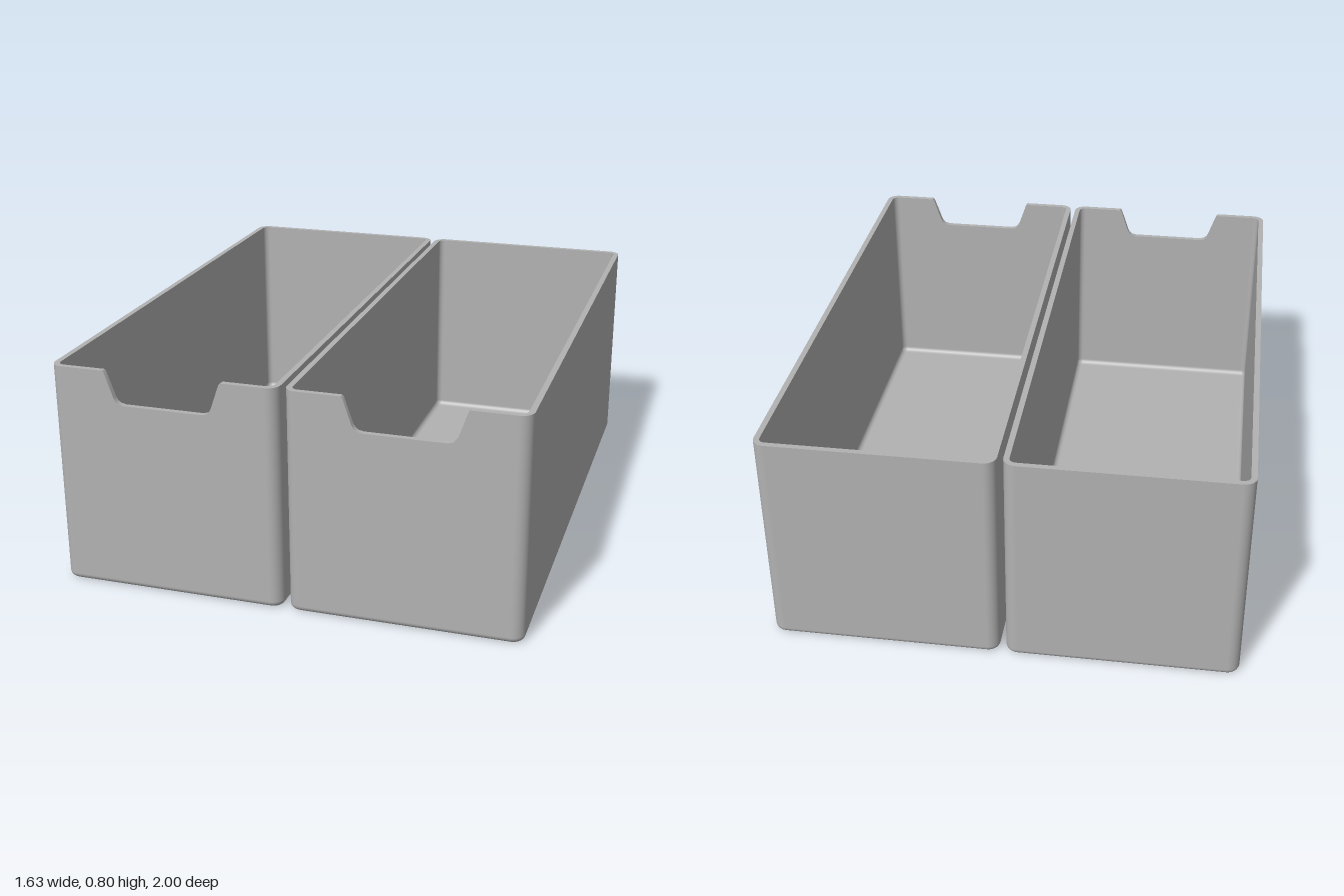
import * as THREE from 'three';
import { toCreasedNormals } from 'three/addons/utils/BufferGeometryUtils.js';

const W = 0.4035, D = 1, H = 0.795;      // half width, half depth, height
const WALL = 0.02, CORNER = 0.043, FILLET = 0.022, INNER = 0.02;
const CENTER_X = 0.4135;

// Half outline of the finger notch: x from its middle, y of the edge
const NOTCH = [[0.21, H], [0.204, 0.789], [0.174, 0.703], [0.167, 0.69], [0.156, 0.681], [0.138, 0.677]];

// Plan outline: each column has a normal direction, and either a corner or a notch point
function makeColumns() {
  const cols = [];
  const steps = 8;
  [[1, 1], [-1, 1], [-1, -1], [1, -1]].forEach(([sx, sz], q) => {
    for (let i = 0; i <= steps; i++) {
      const a = (q + i / steps) * Math.PI / 2;
      cols.push({ sx, sz, nx: Math.cos(a), nz: Math.sin(a), top: H });
    }
    if (q === 0) {
      const mirrored = NOTCH.map(([x, y]) => [-x, y]).reverse();
      for (const [x, top] of [...NOTCH, ...mirrored]) cols.push({ x, nx: 0, nz: 1, top });
    }
  });
  return cols;
}
const columns = makeColumns();

// Point of a column on the outline moved inwards
function planPoint(c, inset) {
  if (c.x !== undefined) return [c.x, D - inset];
  const r = CORNER - inset;
  return [c.sx * (W - CORNER) + c.nx * r, c.sz * (D - CORNER) + c.nz * r];
}

// Skin through rows of { inset, y, out, up }; "rim" rows follow the notch, "centre" rows close a face
function loft(rows) {
  const pos = [], nor = [], idx = [], n = columns.length;
  for (const r of rows) {
    for (const c of columns) {
      const [x, z] = r.centre ? [0, 0] : planPoint(c, r.inset);
      pos.push(x, r.rim ? c.top : r.y, z);
      nor.push(c.nx * r.out, r.up, c.nz * r.out);
    }
  }
  for (let j = 0; j < rows.length - 1; j++) {
    for (let i = 0; i < n; i++) {
      const k = (i + 1) % n, a = j * n + i, b = j * n + k;
      if (!rows[j].centre) idx.push(a, b + n, b);
      if (!rows[j + 1].centre) idx.push(a, a + n, b + n);
    }
  }
  const g = new THREE.BufferGeometry();
  g.setAttribute('position', new THREE.Float32BufferAttribute(pos, 3));
  g.setAttribute('normal', new THREE.Float32BufferAttribute(nor, 3));
  g.setIndex(idx);
  return g;
}

// Outside: flat base, rounded lower edge, wall
function outerRows() {
  const rows = [{ centre: true, y: 0, out: 0, up: -1 }];
  for (let i = 0; i <= 6; i++) {
    const a = i / 6 * Math.PI / 2, s = Math.sin(a), c = Math.cos(a);
    rows.push({ inset: FILLET * (1 - s), y: FILLET * (1 - c), out: s, up: -c });
  }
  rows.push({ inset: 0, rim: true, out: 1, up: 0 });
  return rows;
}

// Inside: wall, rounded lower edge, floor
function innerRows() {
  const rows = [{ inset: WALL, rim: true, out: -1, up: 0 }];
  for (let i = 0; i <= 6; i++) {
    const a = i / 6 * Math.PI / 2, s = Math.sin(a), c = Math.cos(a);
    rows.push({ inset: WALL + INNER * (1 - c), y: WALL + INNER * (1 - s), out: -c, up: s });
  }
  rows.push({ centre: true, y: WALL, out: 0, up: 1 });
  return rows;
}

export function createModel() {
  const model = new THREE.Group();
  model.name = 'storageBins';
  const grey = new THREE.MeshStandardMaterial({ color: 0xb2b2b2 });
  grey.name = 'grey plastic';

  const rim = loft([{ inset: 0, rim: true, out: 0, up: 1 }, { inset: WALL, rim: true, out: 0, up: 1 }]);
  const parts = {
    outerShell: loft(outerRows()),
    innerShell: loft(innerRows()),
    rim: toCreasedNormals(rim, 0.6),
  };

  // Two identical open bins side by side
  for (const [name, side] of [['leftBin', 1], ['rightBin', -1]]) {
    const bin = new THREE.Group();
    bin.name = name;
    for (const [part, geometry] of Object.entries(parts)) {
      const mesh = new THREE.Mesh(geometry, grey);
      mesh.name = part;
      bin.add(mesh);
    }
    bin.position.x = side * CENTER_X;
    model.add(bin);
  }
  return model;
}
